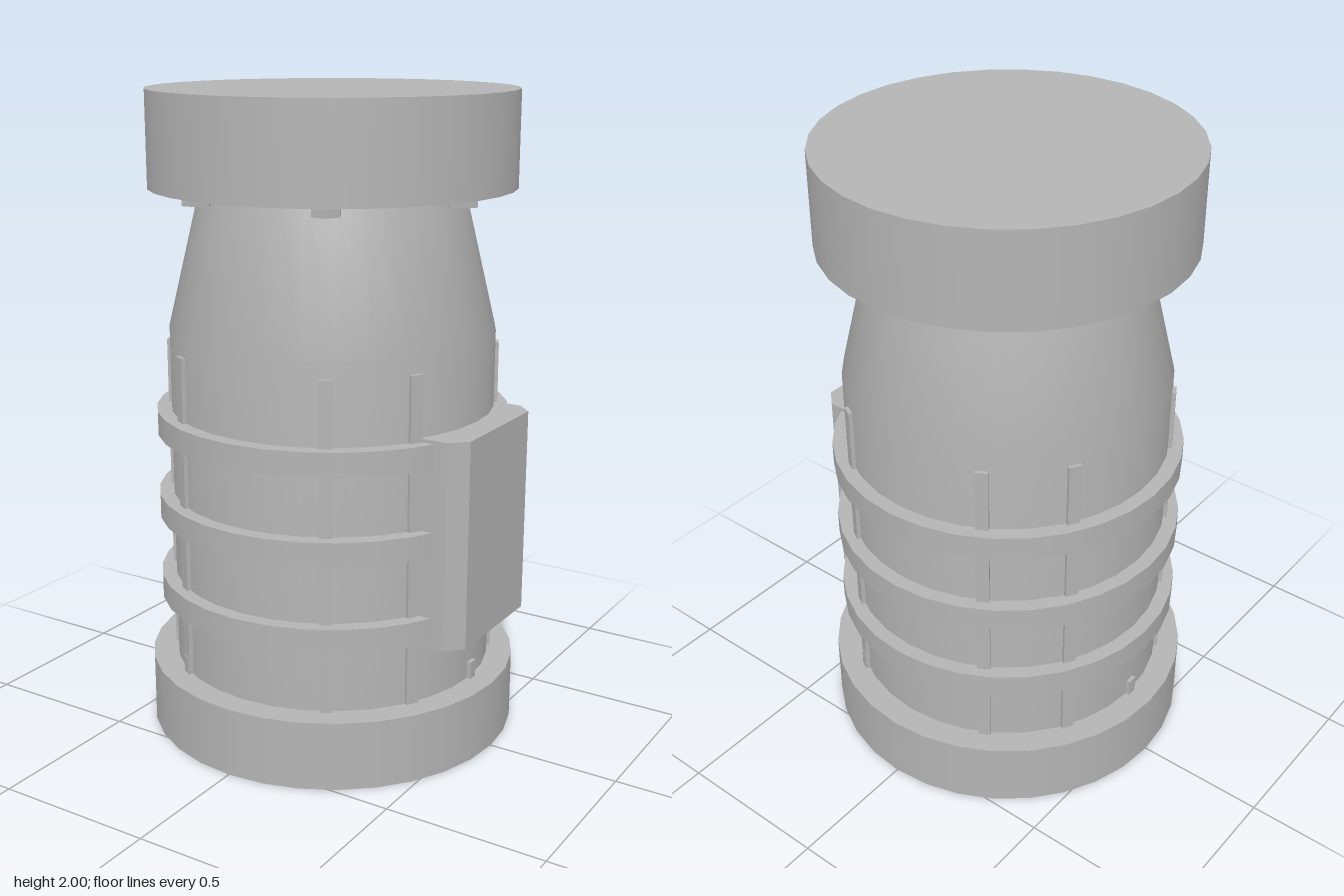
import * as THREE from 'three';

export function createModel() {
  const model = new THREE.Group();
  const grey = new THREE.MeshStandardMaterial({ color: 0xb4b4b4 });
  grey.name = 'grey';
  const SIDES = 32;

  function add(name, geometry, x = 0, y = 0, z = 0, turn = 0) {
    const mesh = new THREE.Mesh(geometry, grey);
    mesh.name = name;
    mesh.position.set(x, y, z);
    mesh.rotation.y = turn;
    model.add(mesh);
    return mesh;
  }
  // upright disc from y0 to y1
  const disc = (name, r, y0, y1) =>
    add(name, new THREE.CylinderGeometry(r, r, y1 - y0, SIDES), 0, (y0 + y1) / 2, 0);
  // place a part on a circle, angle measured from the front towards +x
  const around = (name, geometry, r, y, degrees) => {
    const a = THREE.MathUtils.degToRad(degrees);
    return add(name, geometry, Math.sin(a) * r, y, Math.cos(a) * r, a);
  };

  // foot, tapered body and cap
  disc('base', 0.585, 0, 0.215);
  disc('cap', 0.56, 1.71, 2);
  const profile = [[0.505, 0.2], [0.505, 1.28], [0.4, 1.715]];
  add('body', new THREE.LatheGeometry(profile.map(([r, y]) => new THREE.Vector2(r, y)), SIDES));

  // three bands round the body
  for (const y of [0.42, 0.687, 0.955]) disc('band', 0.55, y, y + 0.075);

  // upright ribs, two in each quarter
  const rib = new THREE.BoxGeometry(0.04, 1.03, 0.06);
  for (const quarter of [0, 90, 180, 270])
    for (const step of [30, 60]) around('rib', rib, 0.485, 0.715, quarter + step);

  // hexagonal bolts below the cap, small lugs on the base
  const bolt = new THREE.CylinderGeometry(0.046, 0.046, 0.045, 6).toNonIndexed();
  bolt.computeVertexNormals();
  const lug = new THREE.BoxGeometry(0.032, 0.065, 0.05);
  for (let i = 0; i < 6; i++) {
    around('bolt', bolt, 0.445, 1.6975, 30 + i * 60);
    around('lug', lug, 0.492, 0.2375, 30 + i * 60);
  }

  // side panel with chamfered upright edges, drawn as x against -z
  const outline = [[0.4, -0.24], [0.535, -0.24], [0.585, -0.192], [0.585, 0.192], [0.535, 0.24], [0.4, 0.24]];
  const panel = new THREE.ExtrudeGeometry(
    new THREE.Shape(outline.map(([x, z]) => new THREE.Vector2(x, z))),
    { depth: 0.64, bevelEnabled: false });
  panel.rotateX(-Math.PI / 2);
  add('sidePanel', panel, 0, 0.4, 0);

  return model;
}
